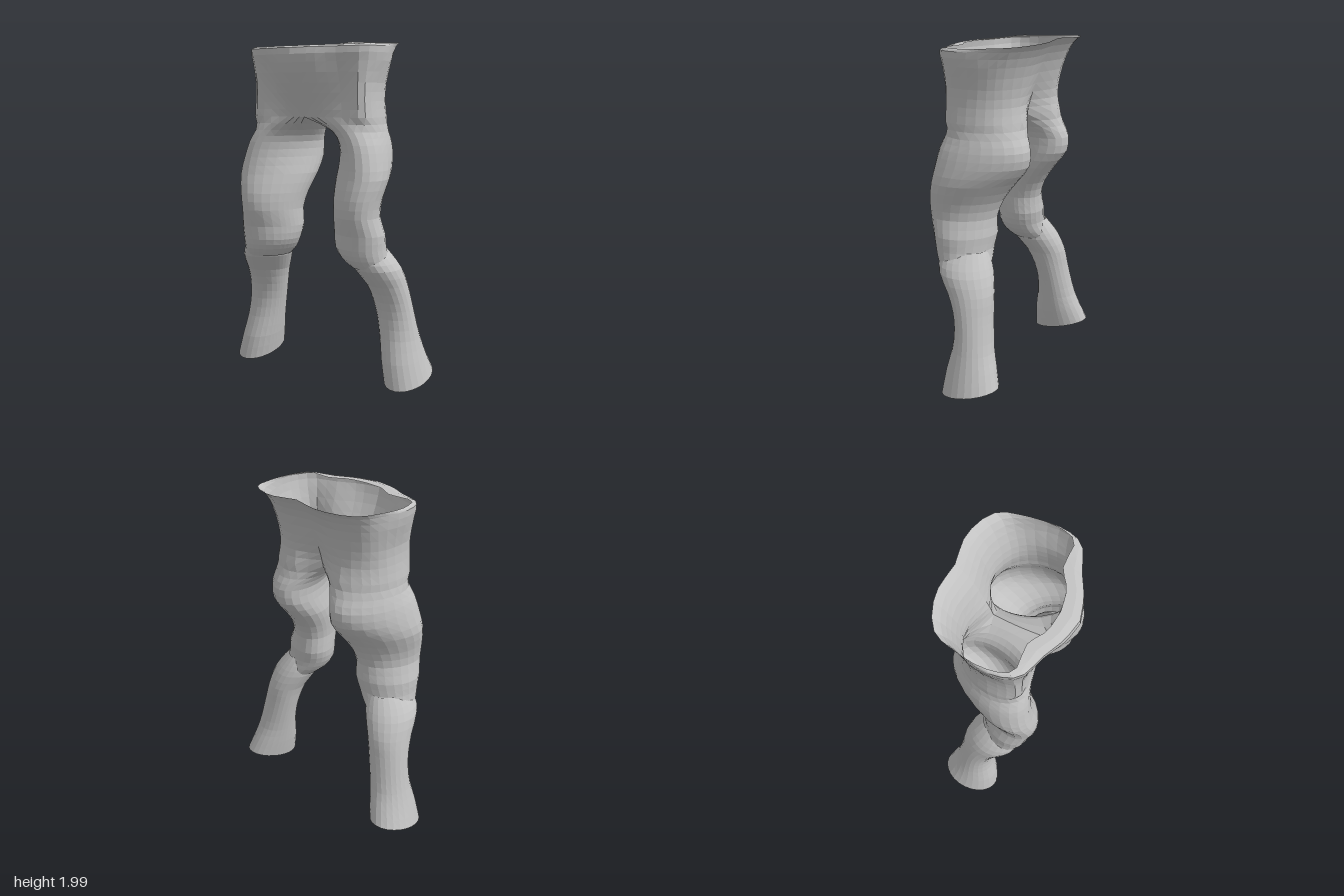
import * as THREE from 'three';

const V = (x, y, z) => new THREE.Vector3(x, y, z);
const OUTER = 20; // steps round the outside of each half
const INNER = 6;  // steps round the inside of a leg

const cloth = new THREE.MeshStandardMaterial({ color: 0xc2c2c2, flatShading: true, side: THREE.DoubleSide });
cloth.name = 'pale grey cloth';

// Hip levels from rim to crotch: [y front, y side, y back], then x, z from front middle to back middle
const HIPS = [
  [[1.945, 1.955, 1.995], [0, 0.235, 0.12, 0.215, 0.22, 0.155, 0.375, 0.15, 0.415, 0.03, 0.4, -0.13, 0.35, -0.27, 0.18, -0.345, 0, -0.325]],
  [[1.93, 1.94, 1.95], [0, 0.338, 0.12, 0.308, 0.24, 0.25, 0.385, 0.185, 0.428, 0.05, 0.4, -0.11, 0.345, -0.23, 0.18, -0.305, 0, -0.285]],
  [[1.85, 1.86, 1.86], [0, 0.333, 0.11, 0.305, 0.235, 0.235, 0.375, 0.18, 0.418, 0.05, 0.39, -0.1, 0.325, -0.195, 0.18, -0.255, 0, -0.23]],
  [[1.74, 1.74, 1.74], [0, 0.29, 0.1, 0.265, 0.235, 0.2, 0.36, 0.175, 0.39, 0.06, 0.372, -0.08, 0.31, -0.165, 0.17, -0.22, 0, -0.185]],
  [[1.63, 1.64, 1.64], [0, 0.237, 0.1, 0.215, 0.235, 0.183, 0.36, 0.177, 0.39, 0.07, 0.372, -0.07, 0.3, -0.16, 0.17, -0.207, 0, -0.15]],
  [[1.55, 1.55, 1.56], [0, 0.2, 0.1, 0.185, 0.24, 0.188, 0.365, 0.177, 0.402, 0.07, 0.382, -0.07, 0.315, -0.165, 0.17, -0.222, 0, -0.13]],
];

// Leg levels: y, inner x, outer x, front z, back z, skew of the section, forward tilt
const THIGH = [
  [1.47, 0.07, 0.415, 0.205, -0.24, 0.25, 0],
  [1.40, 0.108, 0.44, 0.22, -0.27, 0.36, 0],
  [1.31, 0.108, 0.462, 0.235, -0.262, 0.42, 0],
  [1.21, 0.105, 0.476, 0.255, -0.185, 0.42, 0],
  [1.10, 0.125, 0.456, 0.28, -0.105, 0.38, 0],
  [1.00, 0.14, 0.446, 0.28, -0.07, 0.33, 0],
  [0.90, 0.135, 0.47, 0.252, -0.075, 0.28, 0],
  [0.82, 0.15, 0.472, 0.243, -0.065, 0.2, 0],
  [0.76, 0.185, 0.48, 0.225, -0.075, 0.15, 0],
  [0.71, 0.24, 0.49, 0.19, -0.09, 0.1, 0],
];
const SHIN = [
  [0.82, 0.24, 0.44, 0.18, -0.06, 0.1, 0],
  [0.77, 0.235, 0.485, 0.205, -0.09, 0.1, 0],
  [0.70, 0.25, 0.527, 0.185, -0.125, 0.1, 0],
  [0.60, 0.3, 0.545, 0.11, -0.155, 0.1, 0],
  [0.50, 0.325, 0.56, 0.06, -0.165, 0.08, 0],
  [0.40, 0.345, 0.576, 0.04, -0.178, 0.05, 0],
  [0.28, 0.365, 0.6, 0.047, -0.2, 0, 0],
  [0.17, 0.382, 0.63, 0.075, -0.232, 0, -0.02],
  [0.05, 0.405, 0.667, 0.09, -0.266, 0, -0.045],
];

// Half ring of the hips, smoothed through its points
function hipRow([[yf, ys, yb], xz]) {
  const n = xz.length / 2, pts = [];
  for (let i = 0; i < n; i++) {
    const t = i / (n - 1) * 2;
    const y = t < 1 ? yf + (ys - yf) * t : ys + (yb - ys) * (t - 1);
    pts.push(V(xz[2 * i], y, xz[2 * i + 1]));
  }
  return new THREE.CatmullRomCurve3(pts).getPoints(OUTER);
}

// Closed leg ring, starting at the front inner corner and going round the outside;
// skew leans the section towards outer front and inner back
function legRow([y, xi, xo, zf, zb, skew, tilt], shrink = 0) {
  const row = [], rx = (xo - xi) / 2 - shrink, rz = (zf - zb) / 2 - shrink;
  for (let j = 0; j <= OUTER + INNER; j++) {
    const deg = j <= OUTER ? 150 - 300 * j / OUTER : -150 - 60 * (j - OUTER) / INNER;
    const a = THREE.MathUtils.degToRad(deg), s = Math.sin(a);
    row.push(V((xi + xo) / 2 + rx * Math.cos(a - skew), y + tilt * s, (zf + zb) / 2 + rz * s));
  }
  return row;
}

// Crotch ring: the lowest hip row closed by a seam along the middle
function crotchRow() {
  const row = hipRow(HIPS[HIPS.length - 1]);
  const back = row[OUTER], front = row[0];
  for (let k = 1; k <= INNER; k++) {
    const t = k / INNER, p = back.clone().lerp(front, t);
    p.y -= 0.02 * Math.sin(Math.PI * t);
    row.push(p);
  }
  return row;
}

// Skin over rows of points, smoothed from row to row; side is 1 or -1
function skin(name, rows, side, detail = 2) {
  const count = (rows.length - 1) * detail, cols = rows[0].length;
  const pos = [], idx = [];
  for (let j = 0; j < cols; j++) {
    const line = new THREE.CatmullRomCurve3(rows.map(r => r[j])).getPoints(count);
    for (const p of line) pos.push(p.x * side, p.y, p.z);
  }
  const at = (i, j) => j * (count + 1) + i;
  for (let i = 0; i < count; i++) {
    for (let j = 0; j < cols - 1; j++) {
      const a = at(i, j), b = at(i, j + 1), c = at(i + 1, j), d = at(i + 1, j + 1);
      if (side > 0) idx.push(a, c, b, b, c, d);
      else idx.push(a, b, c, b, d, c);
    }
  }
  const g = new THREE.BufferGeometry();
  g.setAttribute('position', new THREE.Float32BufferAttribute(pos, 3));
  g.setIndex(idx);
  g.computeVertexNormals();
  const mesh = new THREE.Mesh(g, cloth);
  mesh.name = name;
  return mesh;
}

export function createModel() {
  const model = new THREE.Group();
  model.name = 'trousers';
  for (const [label, side] of [['left', 1], ['right', -1]]) {
    // Open waist and front pouch
    model.add(skin(label + 'Hip', HIPS.map(hipRow), side));
    // Thigh and knee, joined to the crotch seam
    model.add(skin(label + 'Thigh', [crotchRow(), ...THIGH.map(r => legRow(r))], side));
    // Lower leg tucked into the knee, with a turned-in hem
    const hem = SHIN[SHIN.length - 1];
    model.add(skin(label + 'LowerLeg', SHIN.map(r => legRow(r)), side));
    const lip = [hem[0] + 0.012, ...hem.slice(1)];
    model.add(skin(label + 'Hem', [legRow(hem), legRow(lip, 0.018)], side, 1));
  }
  return model;
}
